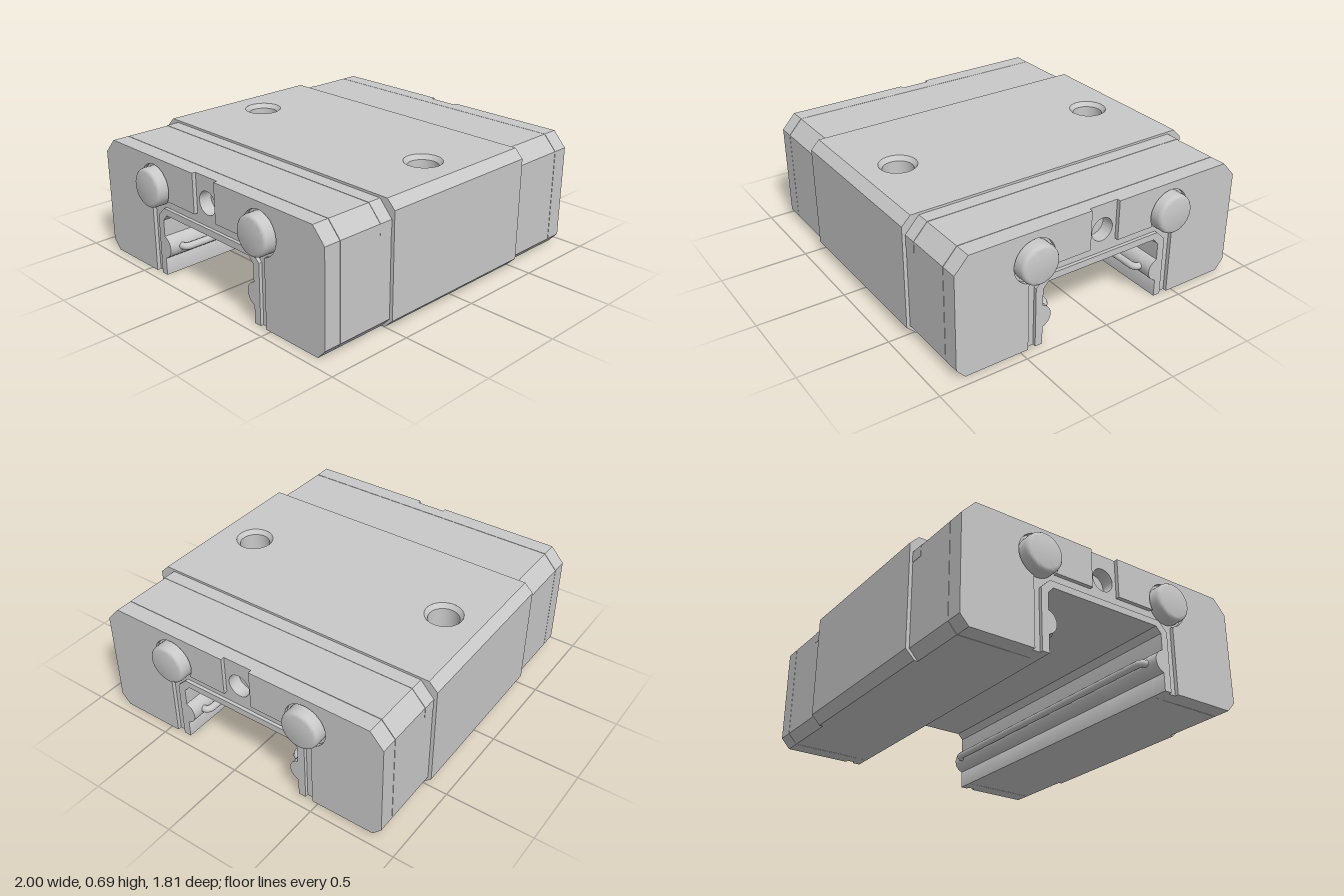
import * as THREE from 'three';
import { toCreasedNormals } from 'three/addons/utils/BufferGeometryUtils.js';

const mirrored = half => [...half, ...half.map(([z, y]) => [-z, y]).reverse()];

// Channel outline (z, y) from the +z foot to the -z foot, with the rounded raceway bulges
function channel() {
  const half = [[0.372, 0], [0.372, 0.1]];
  for (let i = 0; i <= 10; i++) {
    const a = THREE.MathUtils.degToRad(-75 + 15 * i);
    half.push([0.39 - 0.067 * Math.cos(a), 0.166 + 0.067 * Math.sin(a)]);
  }
  half.push([0.372, 0.24], [0.372, 0.327], [0.34, 0.362]);
  return mirrored(half);
}

// Counterclockwise shape, so that clockwise holes face the right way
function toShape(pts) {
  const v = pts.map(p => new THREE.Vector2(...p));
  return new THREE.Shape(THREE.ShapeUtils.isClockWise(v) ? v.reverse() : v);
}

// End cap section, optionally inset on the outside
function capOutline(inset = 0) {
  const outer = [[-0.83, inset], [-0.88 + inset, 0.055], [-0.88 + inset, 0.59 - inset], [-0.802 + inset, 0.675 - inset]];
  return toShape([...channel(), ...mirrored(outer)]);
}

// Extrudes a (z, y) shape along x from x0 to x1
function alongX(shape, x0, x1) {
  const g = new THREE.ExtrudeGeometry(shape, { depth: x1 - x0, bevelEnabled: false, curveSegments: 32 });
  g.translate(0, 0, x0);
  g.rotateY(Math.PI / 2);
  return toCreasedNormals(g, 0.5);
}

function circleHole(x, y, r) {
  const p = new THREE.Path();
  p.absarc(x, y, r, 0, Math.PI * 2, true);
  return p;
}

export function createModel() {
  const steel = new THREE.MeshStandardMaterial({ color: 0xc8c8c8 });
  steel.name = 'light steel grey';
  const model = new THREE.Group();
  const carriage = new THREE.Group();
  carriage.name = 'carriage';
  carriage.rotation.y = 0.006;
  model.add(carriage);
  const add = (name, geometry, parent = carriage) => {
    const m = new THREE.Mesh(geometry, steel);
    m.name = name;
    parent.add(m);
    return m;
  };

  // Centre block: legs, drilled top slab and chamfered shoulders
  const split = 0.38, blockX = 0.503;
  const legs = toShape([...channel(), [-0.85, 0], [-0.9, 0.05], [-0.9, split],
    [0.9, split], [0.9, 0.05], [0.85, 0]]);
  add('blockLegs', alongX(legs, -blockX, blockX));
  for (const s of [1, -1]) {
    add('blockShoulder', alongX(toShape([[0.8 * s, split], [0.9 * s, split], [0.9 * s, 0.64],
      [0.85 * s, 0.69], [0.8 * s, 0.69]]), -blockX, blockX));
  }
  const slab = toShape([[-blockX, -0.8], [blockX, -0.8], [blockX, 0.8], [-blockX, 0.8]]);
  for (const z of [-0.635, 0.635]) slab.holes.push(circleHole(0, z, 0.105));
  const slabGeo = new THREE.ExtrudeGeometry(slab, { depth: 0.69 - split, bevelEnabled: false, curveSegments: 32 });
  slabGeo.rotateX(-Math.PI / 2);
  slabGeo.translate(0, split, 0);
  add('blockTop', toCreasedNormals(slabGeo, 0.5));

  // Countersunk mounting holes with conical floors
  const bore = [[0.105, 0.69], [0.085, 0.665], [0.085, 0.44], [0, 0.385]].map(p => new THREE.Vector2(...p));
  for (const z of [-0.635, 0.635]) {
    add('mountingHole', toCreasedNormals(new THREE.LatheGeometry(bore, 40), 0.5)).position.z = z;
  }

  // End caps, one per end; the second is the first turned round
  const cz = 0.427, cy = 0.51, ringR = 0.123;
  for (const end of [1, -1]) {
    const cap = new THREE.Group();
    cap.name = end > 0 ? 'leftEndCap' : 'rightEndCap';
    if (end < 0) cap.rotation.y = Math.PI;
    carriage.add(cap);

    // Body, fine seam and face plate with a blind centre hole
    add('capBody', alongX(capOutline(), blockX, 0.842), cap);
    add('capSeam', alongX(capOutline(0.004), 0.842, 0.845), cap);
    const face = capOutline();
    face.holes.push(circleHole(0, 0.53, 0.065));
    add('capFace', alongX(face, 0.845, 0.918), cap);

    // Hooked strip over the cap beside the block
    const hook = mirrored([[0.87, 0.53], [0.882, 0.53], [0.882, 0.591], [0.803, 0.677]]);
    hook.push([-0.87, 0.53], [-0.87, 0.585], [-0.795, 0.66], [0.795, 0.66], [0.87, 0.585]);
    add('capHook', alongX(toShape(hook), blockX, 0.58), cap);

    // Raised outer panels, scooped around each button
    const a0 = Math.atan2(-Math.sqrt(ringR ** 2 - (0.46 - cz) ** 2), 0.46 - cz);
    const a1 = Math.PI * 2 + Math.atan2(0.45 - cy, -Math.sqrt(ringR ** 2 - (0.45 - cy) ** 2));
    for (const s of [1, -1]) {
      const pts = [[0.087, 0.45], [0.087, 0.675], [0.802, 0.675], [0.88, 0.59], [0.88, 0.055], [0.83, 0], [0.46, 0]];
      for (let i = 0; i <= 32; i++) {
        const a = a0 + (a1 - a0) * i / 32;
        pts.push([cz + ringR * Math.cos(a), cy + ringR * Math.sin(a)]);
      }
      add('endPanel', alongX(toShape(pts.map(([z, y]) => [z * s, y])), 0.918, 0.94), cap);

      // Round-edged button
      const profile = [[0.11, 0.91], [0.11, 0.973], [0.107, 0.986], [0.1, 0.994], [0.09, 0.997], [0, 0.997]];
      const button = new THREE.LatheGeometry(profile.map(p => new THREE.Vector2(...p)), 40);
      button.rotateZ(-Math.PI / 2);
      add('button', toCreasedNormals(button, 0.6), cap).position.set(0, cy, cz * s);
    }

    // Seal lip around the channel
    const seal = toShape([...channel(), [-0.415, 0], [-0.415, 0.345], [-0.36, 0.4],
      [0.36, 0.4], [0.415, 0.345], [0.415, 0]]);
    add('channelSeal', alongX(seal, 0.918, 0.937), cap);
  }

  // Retaining wires along the raceways, with ends bent into the caps
  for (const s of [1, -1]) {
    const path = new THREE.CurvePath();
    const v = (x, z) => new THREE.Vector3(x, 0.168, z * s);
    path.add(new THREE.LineCurve3(v(-0.86, 0.36), v(-0.86, 0.325)));
    path.add(new THREE.QuadraticBezierCurve3(v(-0.86, 0.325), v(-0.86, 0.294), v(-0.82, 0.294)));
    path.add(new THREE.LineCurve3(v(-0.82, 0.294), v(0.82, 0.294)));
    path.add(new THREE.QuadraticBezierCurve3(v(0.82, 0.294), v(0.86, 0.294), v(0.86, 0.325)));
    path.add(new THREE.LineCurve3(v(0.86, 0.325), v(0.86, 0.36)));
    add('retainingWire', new THREE.TubeGeometry(path, 160, 0.02, 12));
  }
  return model;
}
